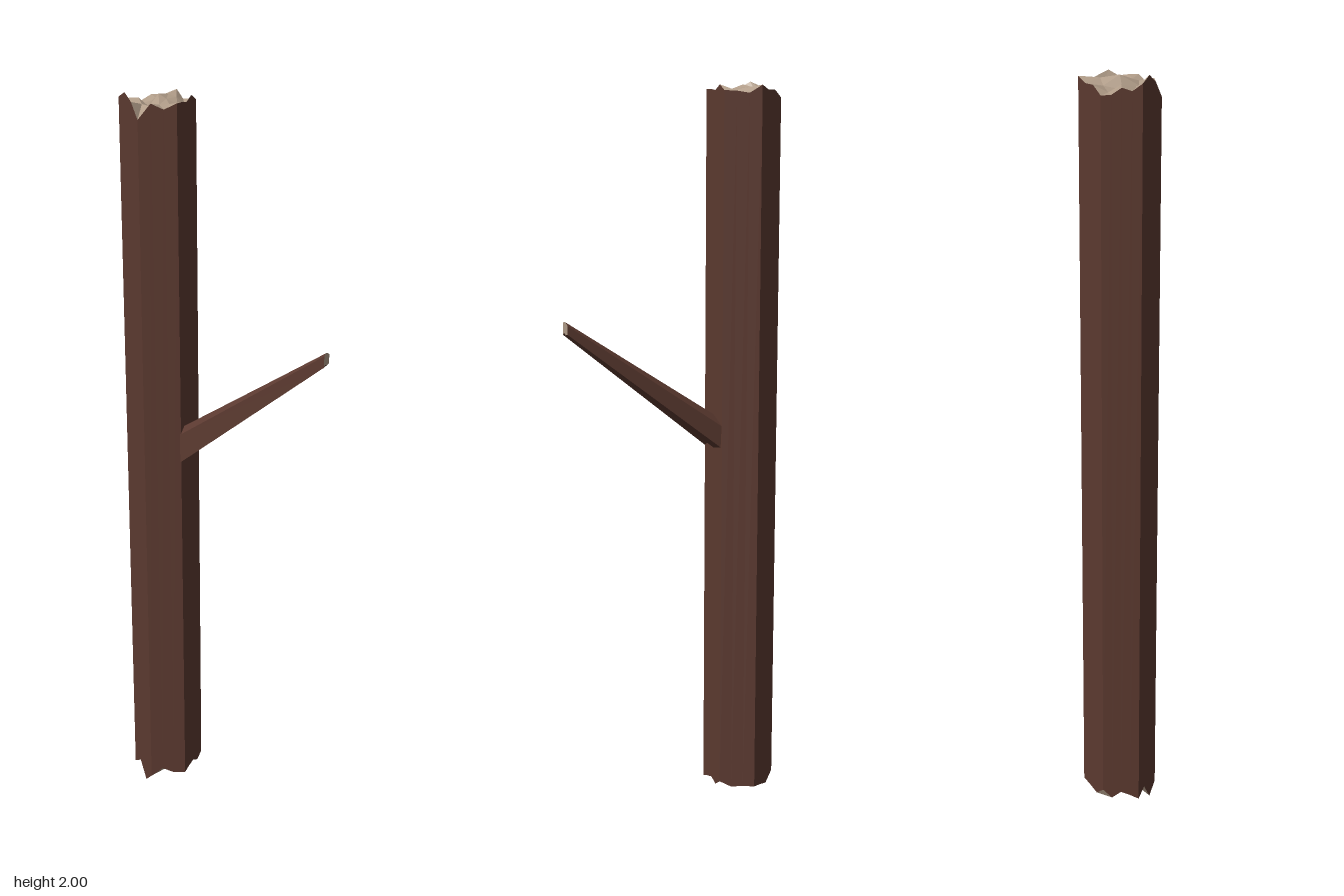
import * as THREE from 'three';

const bark = new THREE.MeshStandardMaterial({ color: 0x5c3a30, flatShading: true });
const wood = new THREE.MeshStandardMaterial({ color: 0xb09c88, flatShading: true });

// Small seeded jitter in the range -1..1
let seed = 11;
const jitter = () => {
  seed = (seed * 16807) % 2147483647;
  return (seed / 2147483647) * 2 - 1;
};

// Flat-shaded mesh from a list of quads, corners counter-clockwise from outside
function quadMesh(name, quads, material) {
  const points = quads.flatMap(([a, b, c, d]) => [a, b, c, a, c, d]);
  const geometry = new THREE.BufferGeometry().setFromPoints(points);
  geometry.computeVertexNormals();
  const mesh = new THREE.Mesh(geometry, material);
  mesh.name = name;
  return mesh;
}

// Skin between two loops with the same number of points
const skin = (lower, upper) => lower.map((p, k) => {
  const n = (k + 1) % lower.length;
  return [p, lower[n], upper[n], upper[k]];
});

const COLS = 6, ROWS = 4, CX = -0.21, HALF = 0.085;

// Splintered end: a grid stretched over the hexagon, with ragged heights
function endGrid(level, rough, frontRow) {
  const grid = [];
  for (let i = 0; i <= COLS; i++) {
    const u = (i / COLS) * 2 - 1;
    const depth = 0.099 - 0.05 * Math.abs(u);
    grid.push([]);
    for (let j = 0; j <= ROWS; j++) {
      const v = (j / ROWS) * 2 - 1;
      const inside = i > 0 && i < COLS && j > 0 && j < ROWS ? 0.005 : 0;
      const y = j === ROWS ? frontRow[i] : level + rough * jitter();
      grid[i].push(new THREE.Vector3(
        CX + HALF * u + inside * jitter(), y, depth * v + inside * jitter()));
    }
  }
  return grid;
}

function gridQuads(g, down) {
  const quads = [];
  for (let i = 0; i < COLS; i++) {
    for (let j = 0; j < ROWS; j++) {
      const q = [g[i][j], g[i][j + 1], g[i + 1][j + 1], g[i + 1][j]];
      quads.push(down ? q.reverse() : q);
    }
  }
  return quads;
}

// Outline of the grid, counter-clockwise from above
function rim(g) {
  const loop = [];
  for (let j = 0; j < ROWS; j++) loop.push(g[0][j]);
  for (let i = 0; i < COLS; i++) loop.push(g[i][ROWS]);
  for (let j = ROWS; j > 0; j--) loop.push(g[COLS][j]);
  for (let i = COLS; i > 0; i--) loop.push(g[i][0]);
  return loop;
}

export function createModel() {
  seed = 11;
  const model = new THREE.Group();
  model.name = 'brokenTrunk';

  // Trunk with a splintered break at both ends
  const top = endGrid(1.975, 0.017, [1.985, 2.0, 1.98, 1.94, 1.98, 1.965, 1.98]);
  const bottom = endGrid(0.047, 0.016, [0.03, 0.05, 0.0, 0.03, 0.055, 0.04, 0.04]);
  model.add(quadMesh('trunkBark', skin(rim(bottom), rim(top)), bark));
  model.add(quadMesh('trunkTopBreak', gridQuads(top, false), wood));
  model.add(quadMesh('trunkBottomBreak', gridQuads(bottom, true), wood));

  // Tapering side branch, grooved underneath; sections are [z, y]
  const section = (x, pts) => pts.map(([z, y]) => new THREE.Vector3(x, y, z));
  const base = section(-0.127, [
    [-0.047, 1.09], [0.0, 1.115], [0.03, 1.118], [0.05, 1.1],
    [0.051, 1.02], [0.025, 1.033], [0.0, 1.022], [-0.042, 1.03]]);
  const tip = section(0.294, [
    [0.02, 1.382], [0.035, 1.39], [0.045, 1.39], [0.051, 1.385],
    [0.051, 1.355], [0.043, 1.361], [0.034, 1.356], [0.022, 1.359]]);
  model.add(quadMesh('branchBark', skin(base, tip), bark));
  const cap = [[0, 1, 6, 7], [1, 2, 5, 6], [2, 3, 4, 5]].map(
    ([a, b, c, d]) => [tip[a], tip[b], tip[c], tip[d]]);
  model.add(quadMesh('branchTip', cap, wood));

  return model;
}
